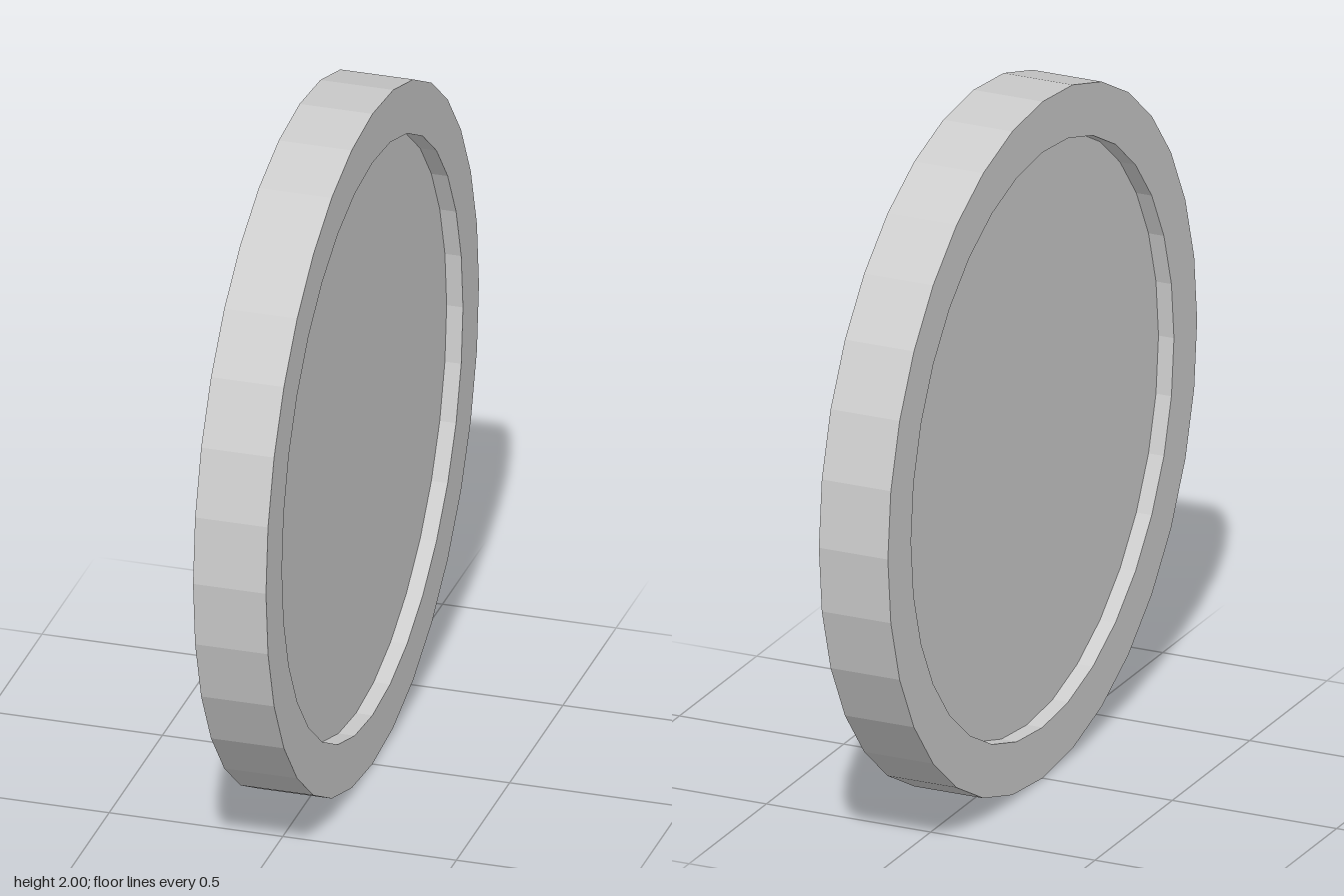
import * as THREE from 'three';

const SIDES = 32;
const OUTER = 1, INNER = 0.85;       // rim radii
const HALF = 0.105, PANEL_HALF = 0.058; // half thicknesses

export function createModel() {
  const group = new THREE.Group();
  const material = new THREE.MeshStandardMaterial({ color: 0xcccccc, flatShading: true });

  const add = (name, geometry) => {
    const mesh = new THREE.Mesh(geometry, material);
    mesh.name = name;
    mesh.rotation.z = Math.PI / 2; // disc axis along x
    mesh.position.y = OUTER;       // stands on its edge
    group.add(mesh);
  };

  // Raised rim: both recess walls, both flat rings and the outer edge
  const profile = [
    [INNER, -PANEL_HALF], [INNER, -HALF], [OUTER, -HALF],
    [OUTER, HALF], [INNER, HALF], [INNER, PANEL_HALF],
  ].map(([r, y]) => new THREE.Vector2(r, y));
  add('rim', new THREE.LatheGeometry(profile, SIDES));

  // Recessed panel filling the rim
  add('panel', new THREE.CylinderGeometry(INNER, INNER, PANEL_HALF * 2, SIDES));

  return group;
}
